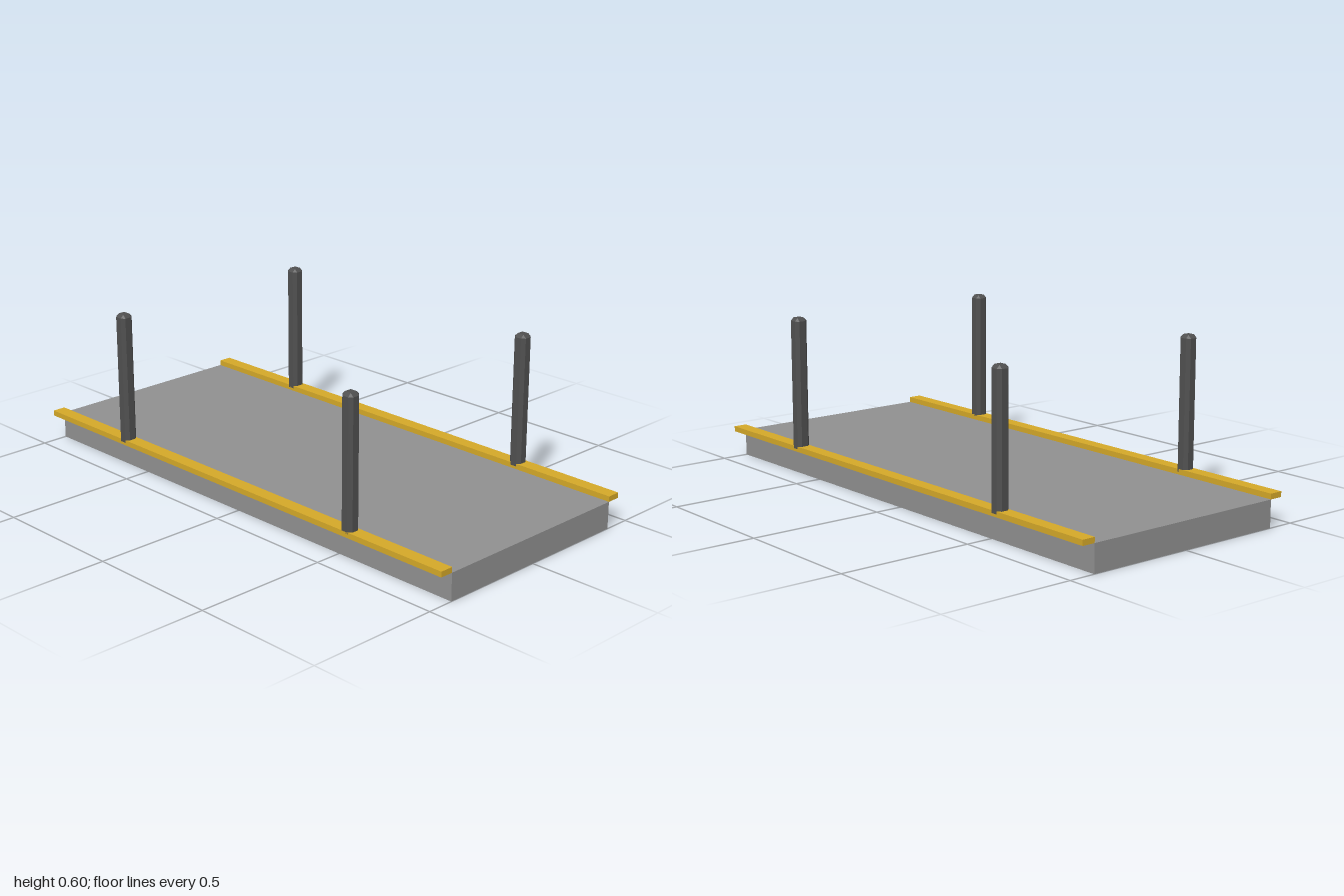
import * as THREE from 'three';
import { ConvexGeometry } from 'three/addons/geometries/ConvexGeometry.js';

const paint = (color) => new THREE.MeshStandardMaterial({ color, flatShading: true });

// Box with every edge chamfered: each corner becomes three points
function chamferedBox(w, h, d, c) {
  const points = [];
  for (const x of [-1, 1]) for (const y of [-1, 1]) for (const z of [-1, 1]) {
    for (let full = 0; full < 3; full++) {
      const inset = [c, c, c];
      inset[full] = 0;
      points.push(new THREE.Vector3(
        x * (w / 2 - inset[0]), y * (h / 2 - inset[1]), z * (d / 2 - inset[2])));
    }
  }
  return new ConvexGeometry(points);
}

export function createModel() {
  const model = new THREE.Group();
  model.name = 'platform';

  const add = (name, geometry, material, x, y, z) => {
    const mesh = new THREE.Mesh(geometry, material);
    mesh.name = name;
    mesh.position.set(x, y, z);
    model.add(mesh);
  };

  // Deck slab
  add('deck', new THREE.BoxGeometry(2, 0.1, 0.8), paint(0x909090), 0, 0.05, 0);

  // Edge strips along both long sides, each carrying two posts
  const stripGeometry = new THREE.BoxGeometry(2, 0.02, 0.05);
  const postGeometry = chamferedBox(0.05, 0.502, 0.05, 0.012);
  const yellow = paint(0xd4a828);
  const dark = paint(0x505050);
  for (const [side, sz] of [['front', 1], ['back', -1]]) {
    add(`${side}EdgeStrip`, stripGeometry, yellow, 0, 0.11, sz * 0.425);
    for (const [hand, sx] of [['Left', 1], ['Right', -1]]) {
      add(`${side}${hand}Post`, postGeometry, dark, sx * 0.575, 0.349, sz * 0.425);
    }
  }
  return model;
}
